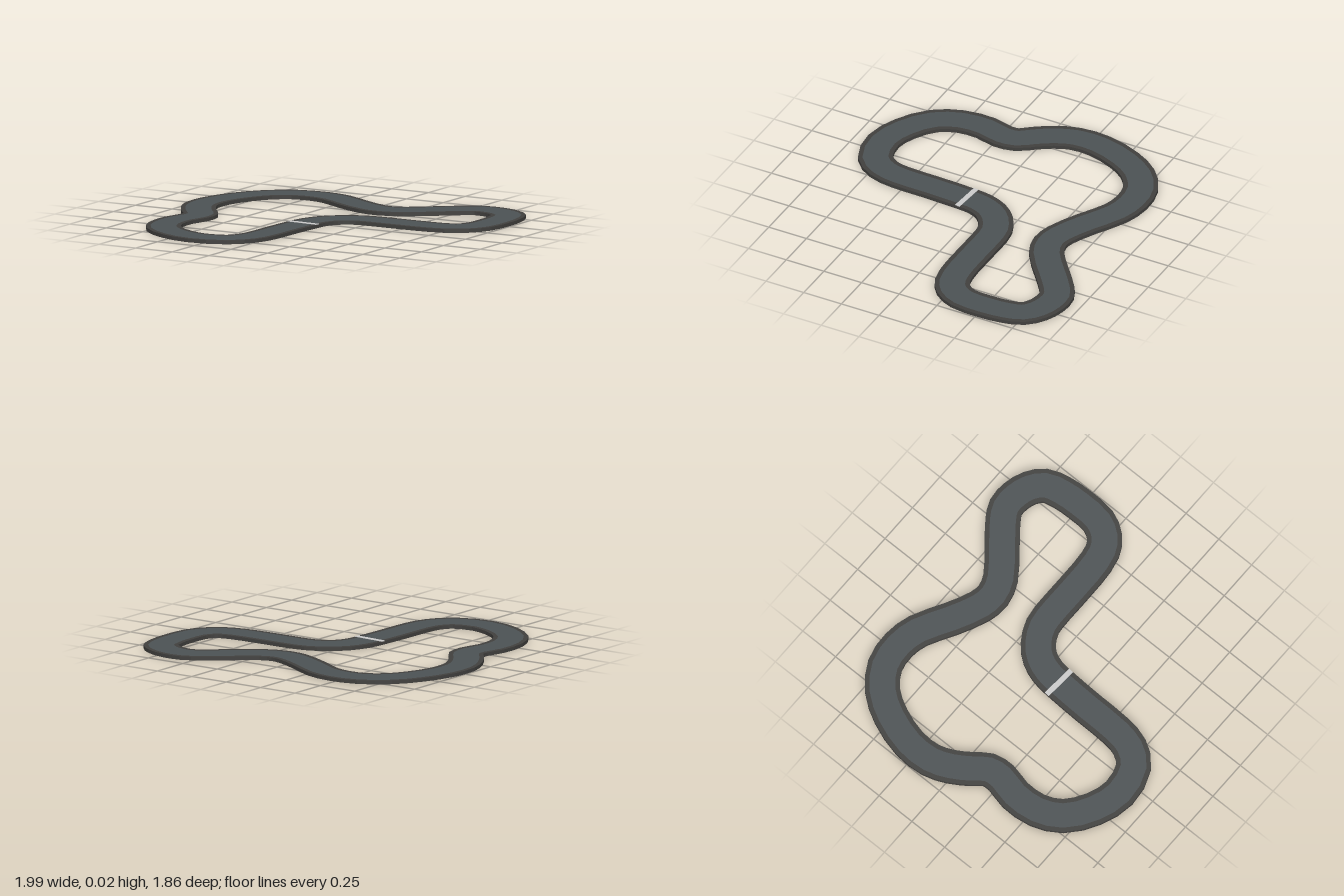
import * as THREE from 'three';

const HEIGHT = 0.021;
const HALF = 0.103; // half the track width
const LANE = 0.076; // half the asphalt width

// Centre line of the circuit as x, z pairs
const PATH = [
  -.04, .11, -.05, .35, -.055, .56, -.08, .68, -.16, .78, -.34, .82, -.51, .77,
  -.66, .66, -.73, .52, -.74, .36, -.71, .23, -.72, .14, -.78, .06, -.845, -.04,
  -.89, -.16, -.89, -.32, -.83, -.51, -.74, -.65, -.61, -.74, -.46, -.76,
  -.32, -.73, -.14, -.63, .03, -.55, .13, -.535, .24, -.57, .41, -.70,
  .525, -.79, .60, -.83, .69, -.83, .78, -.80, .85, -.74, .88, -.64, .89, -.51,
  .88, -.36, .83, -.27, .75, -.22, .59, -.20, .30, -.20, .17, -.19, .07, -.14,
  .005, -.07, -.03, .02,
];

// Sweeps an open [offset, height] profile around the closed curve
function sweep(curve, steps, profile) {
  const rings = [];
  for (let i = 0; i < steps; i++) {
    const p = curve.getPoint(i / steps);
    const t = curve.getTangent(i / steps);
    rings.push(profile.map(([o, y]) => [p.x + t.z * o, y, p.z - t.x * o]));
  }
  const pos = [];
  rings.forEach((a, i) => {
    const b = rings[(i + 1) % steps];
    for (let j = 0; j < profile.length - 1; j++) {
      pos.push(...a[j], ...b[j], ...b[j + 1], ...a[j], ...b[j + 1], ...a[j + 1]);
    }
  });
  const geo = new THREE.BufferGeometry();
  geo.setAttribute('position', new THREE.Float32BufferAttribute(pos, 3));
  geo.computeVertexNormals();
  return geo;
}

export function createModel() {
  const group = new THREE.Group();
  group.name = 'raceTrack';
  const add = (name, geo, color) => {
    const mesh = new THREE.Mesh(geo, new THREE.MeshStandardMaterial({ color }));
    mesh.name = name;
    group.add(mesh);
    return mesh;
  };

  const points = [];
  for (let i = 0; i < PATH.length; i += 2) points.push(new THREE.Vector3(PATH[i], 0, PATH[i + 1]));
  const curve = new THREE.CatmullRomCurve3(points, true, 'centripetal');
  const steps = points.length * 2;

  // Slab with dark borders, walls and underside
  add('trackBase', sweep(curve, steps, [
    [LANE, HEIGHT], [HALF, HEIGHT], [HALF, 0], [-HALF, 0], [-HALF, HEIGHT], [-LANE, HEIGHT],
  ]), 0x41403e);

  // Driving surface between the borders
  add('asphalt', sweep(curve, steps, [[-LANE, HEIGHT], [LANE, HEIGHT]]), 0x4c5254);

  // Start line across the track
  const line = add('startLine', new THREE.BoxGeometry(HALF * 2, 0.004, 0.032), 0xcccccc);
  line.position.set(-0.04, HEIGHT, 0.11);
  line.rotation.y = -0.07;
  return group;
}
